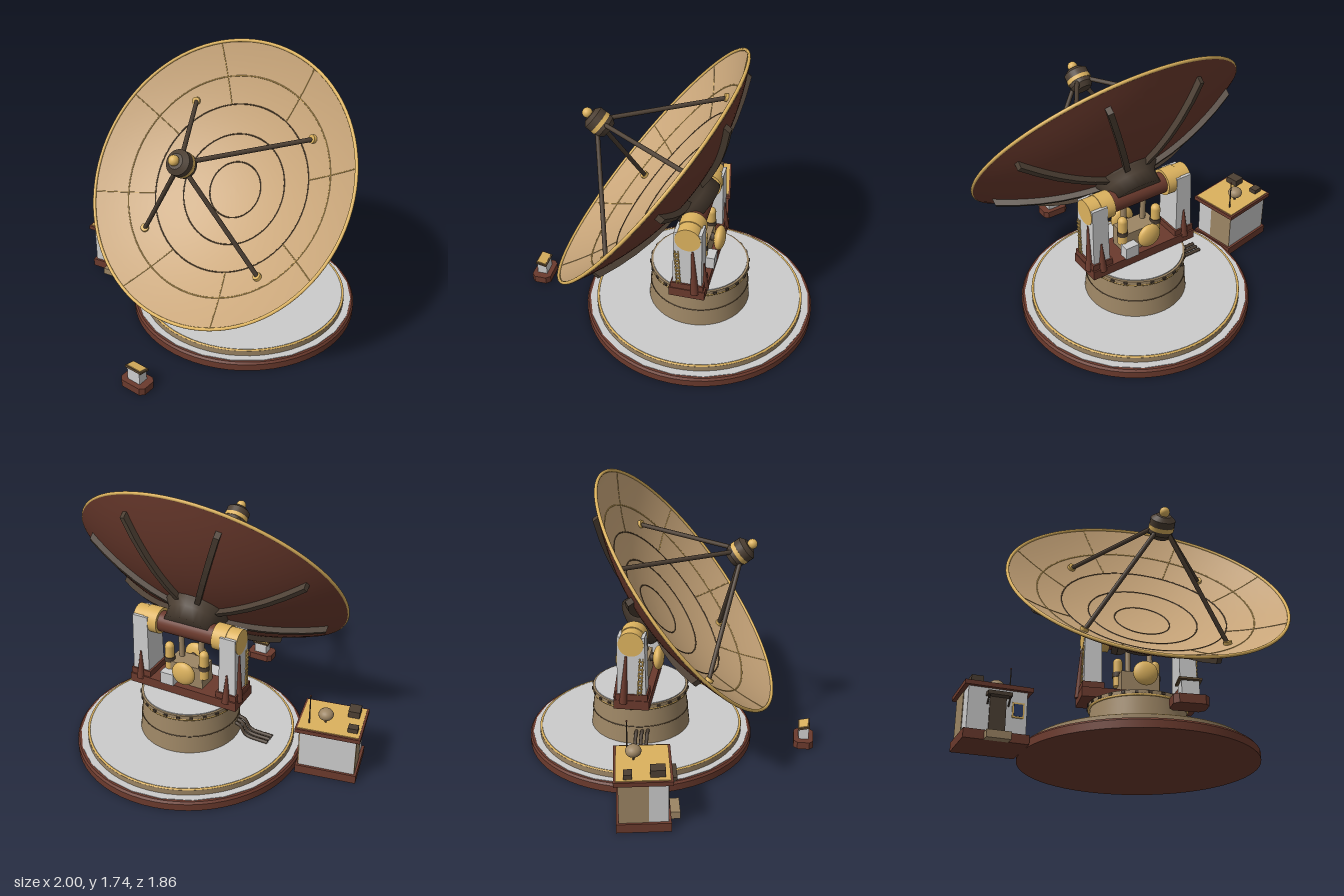
import * as THREE from 'three';

const mat = (color) => new THREE.MeshStandardMaterial({ color, side: THREE.DoubleSide });
const M = {
  grey: mat(0xcccccc), tan: mat(0xc9a67a), stone: mat(0x9c8564), gold: mat(0xdcb25e),
  rust: mat(0x6b3a2d), dark: mat(0x4c3f33), line: mat(0x5e4a32), glass: mat(0x2c3c66),
};
const V = (x, y, z) => new THREE.Vector3(x, y, z);

function add(parent, name, geo, material, x = 0, y = 0, z = 0) {
  const m = new THREE.Mesh(geo, material);
  m.name = name;
  m.position.set(x, y, z);
  parent.add(m);
  return m;
}
function group(parent, name, x, y, z) {
  const g = new THREE.Group();
  g.name = name;
  g.position.set(x, y, z);
  parent.add(g);
  return g;
}
// Boxes and upright cylinders are placed by the height of their underside
const box = (p, name, m, w, h, d, x, y, z) => add(p, name, new THREE.BoxGeometry(w, h, d), m, x, y + h / 2, z);
const cyl = (p, name, m, rt, rb, h, x, y, z, n = 48) =>
  add(p, name, new THREE.CylinderGeometry(rt, rb, h, n), m, x, y + h / 2, z);
const tube = (p, name, m, pts, r, seg = 16) =>
  add(p, name, new THREE.TubeGeometry(new THREE.CatmullRomCurve3(pts), seg, r, 8), m);
function rod(p, name, m, a, b, r0, r1 = r0) {
  const c = cyl(p, name, m, r1, r0, a.distanceTo(b), 0, 0, 0, 12);
  c.position.copy(a).lerp(b, 0.5);
  c.quaternion.setFromUnitVectors(V(0, 1, 0), b.clone().sub(a).normalize());
  return c;
}
const ring = (p, name, m, r, t, y) => {
  const o = add(p, name, new THREE.TorusGeometry(r, t, 8, 64), m, 0, y, 0);
  o.rotation.x = Math.PI / 2;
  return o;
};

function buildBase(root) {
  const g = group(root, 'base', 0.12, 0, -0.205);
  cyl(g, 'foundation', M.rust, 0.725, 0.725, 0.045, 0, 0, 0, 64);
  cyl(g, 'foundationEdge', M.rust, 0.715, 0.725, 0.013, 0, 0.045, 0, 64);
  cyl(g, 'foundationTop', M.grey, 0.705, 0.705, 0.004, 0, 0.057, 0, 24);
  cyl(g, 'step', M.stone, 0.66, 0.66, 0.036, 0, 0.06, 0, 64);
  ring(g, 'stepTrim', M.gold, 0.652, 0.008, 0.094);
  cyl(g, 'stepTop', M.grey, 0.645, 0.645, 0.004, 0, 0.096, 0, 64);
  // Tapered pedestal with seam and bolted flange
  cyl(g, 'pedestal', M.stone, 0.295, 0.32, 0.24, 0, 0.1, 0);
  ring(g, 'pedestalSeam', M.line, 0.309, 0.003, 0.215);
  cyl(g, 'flange', M.stone, 0.308, 0.308, 0.03, 0, 0.335, 0);
  ring(g, 'flangeTrim', M.gold, 0.303, 0.007, 0.338);
  cyl(g, 'turntable', M.grey, 0.295, 0.295, 0.008, 0, 0.363, 0);
  for (let i = 0; i < 24; i++) {
    const a = (i / 24) * Math.PI * 2;
    const b = box(g, 'flangeBolt', M.dark, 0.022, 0.014, 0.012, Math.sin(a) * 0.309, 0.345, Math.cos(a) * 0.309);
    b.rotation.y = a;
  }
  // Cables running from the pedestal towards the hut
  for (const z of [0.02, 0.055, 0.09])
    tube(g, 'cable', M.dark, [V(-0.29, 0.19, z), V(-0.34, 0.175, z), V(-0.38, 0.12, z), V(-0.53, 0.108, z)], 0.011);
}

function buildYoke(root) {
  const g = group(root, 'yoke', 0.12, 0, -0.205);
  box(g, 'yokeBase', M.rust, 0.74, 0.06, 0.22, 0, 0.37, 0);
  for (const s of [-1, 1]) {
    box(g, 'armFoot', M.rust, 0.135, 0.06, 0.2, s * 0.298, 0.41, 0);
    const arm = cyl(g, 'arm', M.grey, 0.083 * Math.SQRT2, 0.09 * Math.SQRT2, 0.38, s * 0.3, 0.465, 0, 4);
    arm.geometry = arm.geometry.toNonIndexed().rotateY(Math.PI / 4);
    arm.geometry.computeVertexNormals();
    arm.scale.x = 0.62;
    // Pointed braces on the outer and rear faces
    rod(g, 'armBrace', M.rust, V(s * 0.362, 0.41, -0.05), V(s * 0.352, 0.72, -0.03), 0.026, 0.007);
    rod(g, 'rearBrace', M.rust, V(s * 0.3, 0.41, -0.098), V(s * 0.3, 0.6, -0.088), 0.026, 0.005);
    // Small ladder
    for (const z of [0.045, 0.065])
      rod(g, 'ladderRail', M.gold, V(s * 0.365, 0.47, z - 0.005), V(s * 0.358, 0.71, z + 0.01), 0.004);
    for (let i = 0; i < 9; i++)
      box(g, 'ladderRung', M.gold, 0.008, 0.008, 0.03, s * 0.362, 0.48 + i * 0.026, 0.052 + i * 0.0015);
    const bearing = cyl(g, 'bearing', M.gold, 0.083, 0.083, 0.09, s * 0.235, 0.755, 0, 32);
    bearing.rotation.z = Math.PI / 2;
    const cap = cyl(g, 'bearingCap', M.gold, 0.078, 0.078, 0.12, s * 0.295, 0.74, 0, 32);
    cap.rotation.z = Math.PI / 2;
  }
  const axle = cyl(g, 'axle', M.rust, 0.065, 0.065, 0.42, 0, 0.59, 0, 32);
  axle.rotation.z = Math.PI / 2;
  // Drive machinery between the arms
  box(g, 'gearbox', M.stone, 0.24, 0.14, 0.13, 0, 0.43, 0);
  box(g, 'controlBox', M.grey, 0.09, 0.08, 0.06, 0.1, 0.43, -0.09);
  for (const s of [-1, 1]) {
    const drum = add(g, 'driveDrum', new THREE.SphereGeometry(0.078, 24, 16), M.gold, s * 0.02, 0.545, s * 0.118);
    drum.scale.z = 0.46;
    rod(g, 'driveShaft', M.dark, V(s * 0.02, 0.545, 0), V(s * 0.02, 0.545, s * 0.1), 0.025);
    cyl(g, 'motor', M.gold, 0.03, 0.03, 0.16, s * 0.12, 0.5, -0.04, 20);
    cyl(g, 'motorBand', M.dark, 0.034, 0.034, 0.03, s * 0.12, 0.56, -0.04, 20);
    add(g, 'motorDome', new THREE.SphereGeometry(0.03, 16, 10), M.gold, s * 0.12, 0.66, -0.04);
    rod(g, 'jack', M.stone, V(s * 0.07, 0.5, 0.03), V(s * 0.07, 0.72, 0.02), 0.018);
  }
}

// Paraboloid: distance along the dish axis at radius r
const bowl = (r) => 0.141 + 0.338 * r * r;

function buildDish(root) {
  const g = group(root, 'dish', 0.12, 0.8, -0.205);
  g.rotation.x = -0.665;
  const lathe = (name, m, pts, n = 72) => {
    const geo = new THREE.LatheGeometry(pts.map(([r, y]) => new THREE.Vector2(r, y)), n);
    return add(g, name, geo.rotateX(Math.PI / 2), m);
  };
  const radii = Array.from({ length: 19 }, (_, i) => (i / 18) * 0.872);
  lathe('reflector', M.tan, radii.map((r) => [r, bowl(r)]));
  lathe('reflectorBack', M.rust, radii.map((r) => [r, bowl(r) - 0.024 + 0.012 * (r / 0.872)]));
  add(g, 'rim', new THREE.TorusGeometry(0.87, 0.01, 10, 96), M.gold, 0, 0, bowl(0.87));
  // Panel seams on the reflector
  [[0.175, M.line], [0.345, M.line], [0.52, M.line], [0.68, M.gold]].forEach(([r, m]) =>
    add(g, 'ringSeam', new THREE.TorusGeometry(r, 0.004, 6, 72), m, 0, 0, bowl(r)));
  // Curved rib profile, swept to a constant width
  const steps = [0.17, 0.3, 0.42, 0.54, 0.66, 0.78];
  const profile = new THREE.Shape([
    ...steps.map((r) => new THREE.Vector2(r, bowl(r) - 0.055)),
    ...steps.slice().reverse().map((r) => new THREE.Vector2(r, bowl(r) - 0.012)),
  ]);
  const ribGeo = new THREE.ExtrudeGeometry(profile, { depth: 0.034, bevelEnabled: false });
  ribGeo.translate(0, 0, -0.017).rotateX(Math.PI / 2);
  for (let i = 0; i < 8; i++) {
    const a = Math.PI / 8 + (i * Math.PI) / 4;
    add(g, 'rib', ribGeo, M.dark).rotation.z = a;
    const seam = [0.52, 0.62, 0.74, 0.87].map((r) => V(r, 0, bowl(r)));
    tube(g, 'radialSeam', M.gold, seam, 0.003).rotation.z = a;
  }
  // Hub joining the dish to the axle
  lathe('hub', M.dark, [[0, -0.007], [0.165, -0.007], [0.165, 0.075], [0.2, 0.12], [0.2, 0.15]], 24);

  // Feed on four struts
  const feed = group(g, 'feed', 0, 0, 0.79);
  const part = (name, m, rt, rb, z0, z1) => {
    const c = add(feed, name, new THREE.CylinderGeometry(rt, rb, z1 - z0, 24), m, 0, 0, (z0 + z1) / 2);
    c.rotation.x = Math.PI / 2;
  };
  part('feedHorn', M.dark, 0.072, 0.05, -0.075, -0.045);
  part('feedLower', M.dark, 0.072, 0.072, -0.045, -0.02);
  part('feedBand', M.gold, 0.076, 0.076, -0.02, 0.005);
  part('feedUpper', M.dark, 0.075, 0.075, 0.005, 0.045);
  part('feedTop', M.dark, 0.045, 0.075, 0.045, 0.068);
  add(feed, 'feedTip', new THREE.SphereGeometry(0.031, 20, 14), M.gold, 0, 0, 0.088);
  for (const sx of [-1, 1]) for (const sy of [-1, 1]) {
    const foot = V(sx * 0.43, sy * 0.43, bowl(0.608));
    rod(g, 'strut', M.dark, foot, V(sx * 0.035, sy * 0.035, 0.765), 0.014);
    rod(g, 'strutFoot', M.gold, foot, foot.clone().add(V(-sx * 0.006, -sy * 0.006, 0.018)), 0.026);
  }
}

function buildHut(root) {
  const g = group(root, 'hut', -0.778, 0, -0.057);
  g.rotation.y = 0.174;
  box(g, 'hutBase', M.rust, 0.375, 0.055, 0.31, 0, 0, 0);
  box(g, 'hutWalls', M.grey, 0.34, 0.26, 0.28, 0, 0.05, 0);
  for (const s of [-1, 1]) box(g, 'sidePanel', M.stone, 0.008, 0.25, 0.17, s * 0.17, 0.055, -0.055);
  box(g, 'roof', M.rust, 0.394, 0.026, 0.33, 0, 0.305, 0);
  box(g, 'roofTop', M.gold, 0.368, 0.008, 0.304, 0, 0.328, 0);
  box(g, 'door', M.dark, 0.095, 0.2, 0.012, 0, 0.055, 0.142);
  box(g, 'doorCanopy', M.dark, 0.14, 0.022, 0.055, 0, 0.255, 0.165);
  for (const s of [-1, 1])
    rod(g, 'canopyBracket', M.dark, V(s * 0.06, 0.21, 0.142), V(s * 0.06, 0.256, 0.185), 0.005);
  box(g, 'doorStep', M.stone, 0.14, 0.045, 0.06, 0, 0, 0.18);
  box(g, 'windowFrame', M.gold, 0.07, 0.09, 0.01, 0.118, 0.148, 0.142);
  box(g, 'window', M.glass, 0.052, 0.072, 0.014, 0.118, 0.157, 0.142);
  // Rooftop equipment
  box(g, 'roofVent', M.dark, 0.06, 0.03, 0.05, -0.14, 0.334, -0.085);
  box(g, 'roofUnit', M.dark, 0.07, 0.044, 0.085, -0.12, 0.334, 0.082);
  cyl(g, 'smallDishPost', M.dark, 0.006, 0.006, 0.04, 0.033, 0.334, -0.05, 8);
  const d = add(g, 'smallDish', new THREE.SphereGeometry(0.046, 20, 14), M.stone, 0.033, 0.393, -0.05);
  d.scale.y = 0.8;
  cyl(g, 'mast', M.dark, 0.003, 0.005, 0.195, 0.125, 0.334, -0.085, 8);
  add(g, 'mastTip', new THREE.SphereGeometry(0.006, 8, 6), M.rust, 0.125, 0.53, -0.085);
}

function buildSignStand(root) {
  const g = group(root, 'signStand', 0.12, 0, 0.862);
  const c = 0.025, w = 0.092, d = 0.063;
  const plan = new THREE.Shape([[w - c, -d], [w, c - d], [w, d - c], [w - c, d], [c - w, d], [-w, d - c], [-w, c - d], [c - w, -d]]
    .map(([x, y]) => new THREE.Vector2(x, y)));
  const foot = new THREE.ExtrudeGeometry(plan, { depth: 0.048, bevelEnabled: false });
  add(g, 'standFoot', foot.rotateX(-Math.PI / 2), M.rust);
  box(g, 'standBody', M.grey, 0.092, 0.082, 0.064, 0, 0.046, 0);
  const tilt = -0.24;
  box(g, 'panelFrame', M.line, 0.12, 0.012, 0.074, 0, 0.125, 0).rotation.x = tilt;
  box(g, 'panel', M.gold, 0.1, 0.012, 0.056, 0, 0.129, 0).rotation.x = tilt;
}

export function createModel() {
  const root = new THREE.Group();
  root.name = 'dishStation';
  [buildBase, buildYoke, buildDish, buildHut, buildSignStand].forEach((build) => build(root));
  return root;
}
